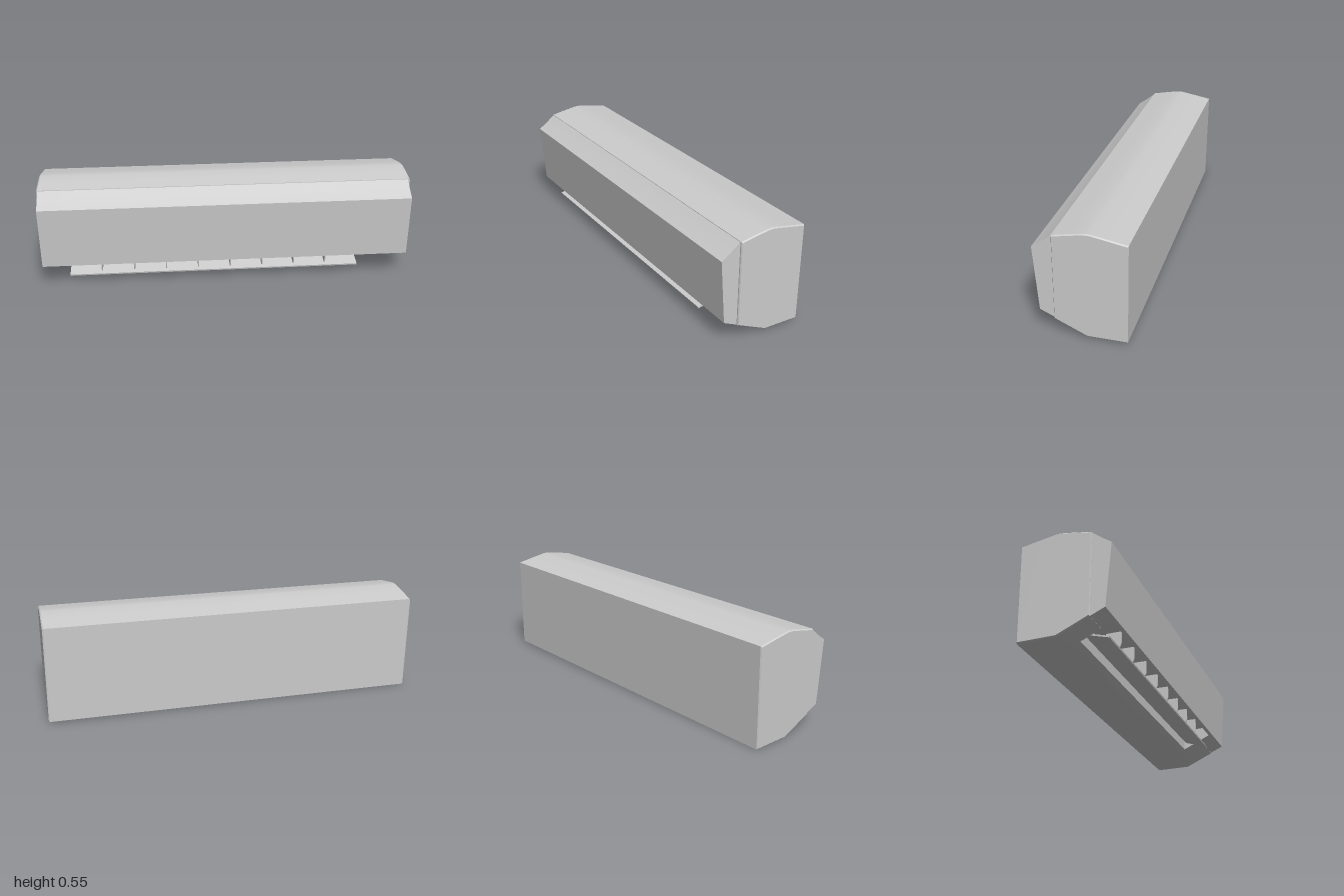
import * as THREE from 'three';
import { toCreasedNormals } from 'three/addons/utils/BufferGeometryUtils.js';

const material = new THREE.MeshStandardMaterial({ color: 0xcccccc });

// Joins sections [x, profile] along x; profiles are [z, y] points, anticlockwise seen from +x.
function loft(name, sections) {
  const rings = sections.map(([x, profile]) => profile.map(([z, y]) => new THREE.Vector3(x, y, z)));
  const positions = [];
  const tri = new THREE.Triangle();
  const add = (a, b, c) => {
    tri.set(a, b, c);
    if (tri.getArea() > 1e-8) for (const p of [a, b, c]) positions.push(p.x, p.y, p.z);
  };
  for (let i = 0; i < rings.length - 1; i++) {
    const a = rings[i], b = rings[i + 1];
    for (let j = 0; j < a.length; j++) {
      const k = (j + 1) % a.length;
      add(a[j], a[k], b[j]);
      add(b[j], a[k], b[k]);
    }
  }
  const first = rings[0], last = rings[rings.length - 1];
  const faces = (ring) => THREE.ShapeUtils.triangulateShape(ring.map((p) => new THREE.Vector2(-p.z, p.y)), []);
  for (const [i, j, k] of faces(first)) add(first[i], first[k], first[j]);
  for (const [i, j, k] of faces(last)) add(last[i], last[j], last[k]);
  const geometry = new THREE.BufferGeometry();
  geometry.setAttribute('position', new THREE.Float32BufferAttribute(positions, 3));
  const mesh = new THREE.Mesh(toCreasedNormals(geometry, 0.5), material);
  mesh.name = name;
  return mesh;
}

// Shrinks a profile a little towards a centre, for the softened ends
const inset = (profile, cz, cy, s) => profile.map(([z, y]) => [cz + (z - cz) * s, cy + (y - cy) * s]);

// Air outlet opening along x
const OPEN_L = -0.86, OPEN_R = 0.72;

// Solid ends, recessed between the outlet limits
function recessed(name, x0, x1, solid, notched, capped, bevel) {
  return loft(name, [
    [x0, capped], [x0 + bevel, solid],
    [OPEN_L, solid], [OPEN_L, notched],
    [OPEN_R, notched], [OPEN_R, solid],
    [x1 - bevel, solid], [x1, capped],
  ]);
}

export function createModel() {
  const model = new THREE.Group();
  model.name = 'wallAirConditioner';

  // Main casing
  const casing = (front, recess) => [
    [-0.222, 0.007], [-0.227, 0.514], [-0.13, 0.532], [-0.05, 0.546], [-0.02, 0.546],
    [0.05, 0.534], [0.13, 0.519], front, recess, [0.03, 0.036], [-0.03, 0.009],
  ];
  const body = casing([0.13, 0.082], [0.08, 0.059]);
  model.add(recessed('casing', -0.995, 0.983, body,
    casing([0.13, 0.16], [0.03, 0.15]), inset(body, -0.05, 0.27, 0.98), 0.006));

  // Front panel, slightly narrower than the casing
  const cover = (back, recess) => [
    back, [0.13, 0.516], [0.19, 0.469], [0.228, 0.444], [0.202, 0.116], [0.185, 0.108], recess,
  ];
  const panel = cover([0.13, 0.083], [0.1575, 0.0955]);
  model.add(recessed('frontPanel', -0.988, 0.971, panel,
    cover([0.13, 0.16], [0.18, 0.16]), panel, 0.002));

  // Tilted outlet flap
  const flap = [[0.043, 0.072], [0.045, 0.08], [0.167, 0.046], [0.165, 0.038]];
  model.add(loft('outletFlap', [[-0.85, flap], [0.71, flap]]));

  // Air guide fins standing on the flap
  const fin = [[0.08, 0.066], [0.08, 0.15], [0.158, 0.15], [0.158, 0.088], [0.143, 0.05]];
  const fins = new THREE.Group();
  fins.name = 'guideFins';
  for (let i = 0; i < 8; i++) {
    const x = -0.68 + i * 0.1735;
    fins.add(loft('guideFin', [[x - 0.003, fin], [x + 0.003, fin]]));
  }
  model.add(fins);

  // Slightly turned and tilted stance
  model.rotation.set(0, -0.0607, 0.006);
  const root = new THREE.Group();
  root.name = 'airConditioner';
  root.add(model);
  return root;
}
